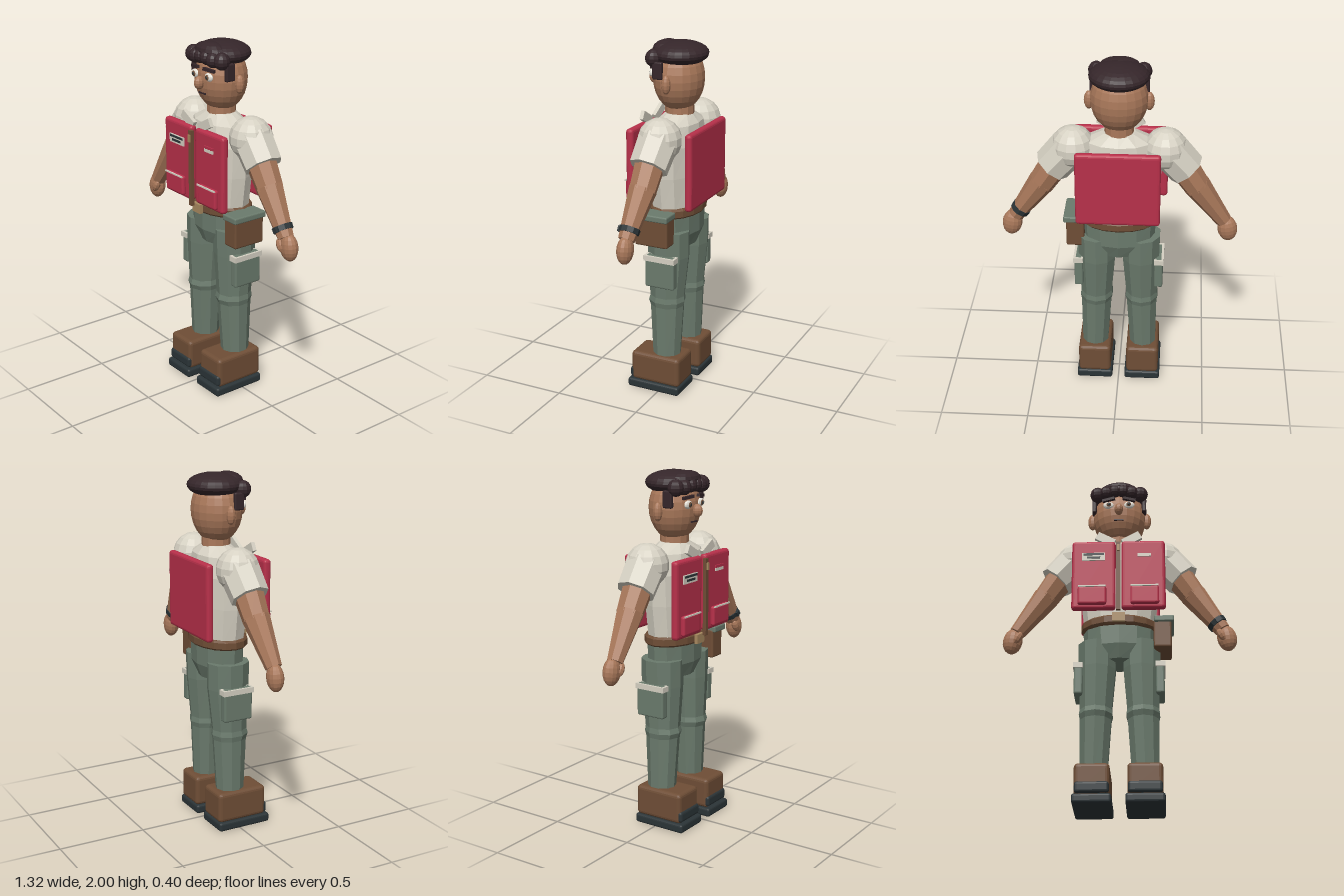
import * as THREE from 'three';
import { RoundedBoxGeometry } from 'three/addons/geometries/RoundedBoxGeometry.js';

const mat = (name, color) => {
  const m = new THREE.MeshStandardMaterial({ color });
  m.name = name;
  return m;
};

export function createModel() {
  const model = new THREE.Group();
  model.name = 'workerFigure';
  const skin = mat('skin', 0xa9785a), hair = mat('hair', 0x35262a), red = mat('vestRed', 0xb8304a);
  const cream = mat('shirtCream', 0xd6d1c3), green = mat('trouserGreen', 0x6b7b6d);
  const leather = mat('leather', 0x6f4e36), dark = mat('darkRubber', 0x2b3437);
  const tan = mat('buckleTan', 0xa8895f), white = mat('eyeWhite', 0xeeeae0);

  // ---- helpers ----
  const add = (name, geo, material, pos = [0, 0, 0], rot = [0, 0, 0]) => {
    const g = geo.index ? geo.toNonIndexed() : geo;
    g.computeVertexNormals(); // faceted look
    const mesh = new THREE.Mesh(g, material);
    mesh.name = name;
    mesh.position.set(...pos);
    mesh.rotation.set(...rot);
    model.add(mesh);
    return mesh;
  };
  const box = (name, size, pos, material, rot) => add(name, new THREE.BoxGeometry(...size), material, pos, rot);
  const rbox = (name, size, pos, material, r = 0.015, rot) =>
    add(name, new RoundedBoxGeometry(...size, 2, r), material, pos, rot);
  const ball = (name, radii, pos, material, w = 14, h = 10, rot) =>
    add(name, new THREE.SphereGeometry(1, w, h).scale(...radii), material, pos, rot);
  // Stacked elliptical rings, top to bottom: [y, cx, cz, rx, rz]
  const loft = (name, rings, material, n = 10) => {
    const geo = new THREE.CylinderGeometry(1, 1, 1, n, rings.length - 1);
    const p = geo.attributes.position;
    for (let i = 0; i < p.count; i++) {
      const [y, cx, cz, rx, rz] = rings[Math.round((0.5 - p.getY(i)) * (rings.length - 1))];
      p.setXYZ(i, cx + p.getX(i) * rx, y, cz + p.getZ(i) * rz);
    }
    return add(name, geo, material);
  };
  // Tapered cylinder between two points
  const limb = (name, a, b, ra, rb, material, n = 8) => {
    const va = new THREE.Vector3(...a), vb = new THREE.Vector3(...b);
    const mesh = add(name, new THREE.CylinderGeometry(rb, ra, va.distanceTo(vb), n), material);
    mesh.position.copy(va).add(vb).multiplyScalar(0.5);
    mesh.quaternion.setFromUnitVectors(new THREE.Vector3(0, 1, 0), vb.sub(va).normalize());
    return mesh;
  };

  // ---- torso, pelvis, belt ----
  loft('shirtTorso', [
    [1.61, 0, -0.025, 0.09, 0.075], [1.56, 0, -0.02, 0.19, 0.12], [1.45, 0, -0.015, 0.235, 0.138],
    [1.28, 0, -0.015, 0.225, 0.138], [1.09, 0, -0.015, 0.2, 0.13]], cream, 12);
  loft('pelvis', [
    [1.06, 0, -0.02, 0.205, 0.128], [0.94, 0, -0.02, 0.2, 0.128], [0.86, 0, -0.02, 0.13, 0.1]], green, 12);
  loft('belt', [
    [1.105, 0, -0.017, 0.205, 0.14], [1.095, 0, -0.017, 0.218, 0.148],
    [1.06, 0, -0.017, 0.218, 0.148], [1.05, 0, -0.017, 0.205, 0.14]], leather, 16);
  box('beltBuckle', [0.07, 0.052, 0.02], [0, 1.079, 0.142], tan);

  // ---- vest ----
  rbox('vestBack', [0.46, 0.43, 0.042], [0, 1.335, -0.182], red, 0.018);
  box('zipStrip', [0.024, 0.43, 0.02], [0, 1.318, 0.182], leather);
  box('zipPull', [0.014, 0.04, 0.01], [0, 1.49, 0.196], tan);
  for (const s of [-1, 1]) {
    rbox('vestFront', [0.248, 0.43, 0.044], [s * 0.14, 1.335, 0.15], red, 0.018);
    rbox('vestPocket', [0.16, 0.11, 0.03], [s * 0.147, 1.195, 0.18], red, 0.012);
    box('pocketTrim', [0.155, 0.008, 0.008], [s * 0.147, 1.248, 0.197], cream);
    box('shirtCollar', [0.11, 0.05, 0.022], [s * 0.075, 1.572, 0.142], cream, [0, 0, s * 0.5]);
  }
  // Plain badge and small trim
  box('badgePlate', [0.13, 0.048, 0.008], [-0.14, 1.445, 0.175], cream);
  box('badgeTopBand', [0.116, 0.012, 0.004], [-0.14, 1.459, 0.18], dark);
  box('badgeLowerBand', [0.075, 0.012, 0.004], [-0.14, 1.438, 0.18], dark);
  box('chestTrimUpper', [0.075, 0.015, 0.008], [0.147, 1.468, 0.175], red);
  box('chestTrim', [0.075, 0.02, 0.008], [0.147, 1.453, 0.175], cream);

  // ---- arms ----
  for (const s of [-1, 1]) {
    ball('shoulder', [0.12, 0.12, 0.12], [s * 0.25, 1.512, -0.03], cream, 14, 9);
    limb('sleeve', [s * 0.26, 1.515, -0.03], [s * 0.368, 1.388, -0.022], 0.112, 0.106, cream);
    limb('upperArm', [s * 0.33, 1.43, -0.022], [s * 0.43, 1.275, -0.018], 0.085, 0.074, skin);
    limb('forearm', [s * 0.423, 1.288, -0.018], [s * 0.583, 1.055, -0.002], 0.076, 0.045, skin);
    ball('hand', [0.056, 0.077, 0.044], [s * 0.605, 1.007, -0.006], skin, 14, 10, [0, 0, s * 0.15]);
    ball('thumb', [0.023, 0.04, 0.023], [s * 0.572, 1.015, 0.025], skin, 8, 6, [0, 0, s * 0.5]);
  }
  limb('watchBand', [0.545, 1.11, -0.005], [0.562, 1.086, -0.004], 0.057, 0.055, dark, 10);
  box('watchFace', [0.03, 0.03, 0.014], [0.556, 1.1, 0.05], dark, [0, 0, 0.6]);

  // ---- legs and boots ----
  for (const s of [-1, 1]) {
    loft('trouserLeg', [
      [0.97, s * 0.125, -0.02, 0.111, 0.122], [0.82, s * 0.125, -0.02, 0.108, 0.12],
      [0.58, s * 0.13, -0.014, 0.092, 0.101], [0.55, s * 0.13, -0.012, 0.097, 0.108],
      [0.52, s * 0.131, -0.014, 0.09, 0.098], [0.2, s * 0.14, -0.015, 0.077, 0.08]], green, 10);
    rbox('cargoPocket', [0.048, 0.185, 0.175], [s * 0.226, 0.748, -0.02], green, 0.01);
    box('cargoFlap', [0.054, 0.03, 0.188], [s * 0.228, 0.825, -0.02], cream);
    rbox('boot', [0.188, 0.175, 0.3], [s * 0.14, 0.137, 0.02], leather, 0.022);
    rbox('bootToeCap', [0.182, 0.062, 0.04], [s * 0.14, 0.09, 0.16], dark, 0.015);
    rbox('bootSole', [0.208, 0.052, 0.322], [s * 0.14, 0.027, 0.029], dark, 0.014);
  }

  // ---- hip pouch ----
  rbox('hipPouch', [0.1, 0.165, 0.196], [0.243, 0.995, 0.008], leather, 0.01);
  rbox('pouchLid', [0.112, 0.036, 0.216], [0.252, 1.081, 0.012], green, 0.008);

  // ---- head ----
  limb('neck', [0, 1.53, -0.025], [0, 1.69, -0.025], 0.082, 0.078, skin, 12);
  ball('head', [0.155, 0.182, 0.138], [0, 1.798, -0.022], skin, 20, 14);
  ball('nose', [0.026, 0.036, 0.032], [0, 1.788, 0.125], skin, 10, 8);
  box('mouth', [0.056, 0.008, 0.01], [0, 1.727, 0.104], hair);
  for (const s of [-1, 1]) {
    ball('ear', [0.027, 0.052, 0.025], [s * 0.16, 1.788, -0.022], skin, 10, 8);
    ball('eyeWhite', [0.032, 0.023, 0.014], [s * 0.06, 1.825, 0.106], white, 12, 8);
    ball('iris', [0.014, 0.015, 0.006], [s * 0.058, 1.825, 0.118], leather, 10, 6);
    ball('pupil', [0.008, 0.009, 0.004], [s * 0.058, 1.825, 0.122], dark, 8, 6);
    box('eyebrow', [0.075, 0.016, 0.018], [s * 0.06, 1.864, 0.106], hair, [0, s * 0.25, s * -0.1]);
    rbox('sideburn', [0.026, 0.095, 0.058], [s * 0.146, 1.857, 0.034], hair, 0.008);
  }

  // ---- hair ----
  ball('hairCap', [0.161, 0.066, 0.153], [0, 1.934, -0.03], hair, 24, 14);
  const curls = [
    [-0.125, 1.918, 0.07, 0.045], [-0.075, 1.918, 0.09, 0.04], [-0.025, 1.925, 0.095, 0.038],
    [0.025, 1.925, 0.095, 0.038], [0.075, 1.918, 0.09, 0.04], [0.125, 1.918, 0.07, 0.045]];
  for (const [x, y, z, r] of curls) ball('hairCurl', [r, r * 1.05, r], [x, y, z], hair, 12, 8);
  ball('hairTuft', [0.11, 0.045, 0.07], [0, 1.955, 0.05], hair, 16, 8);

  return model;
}
